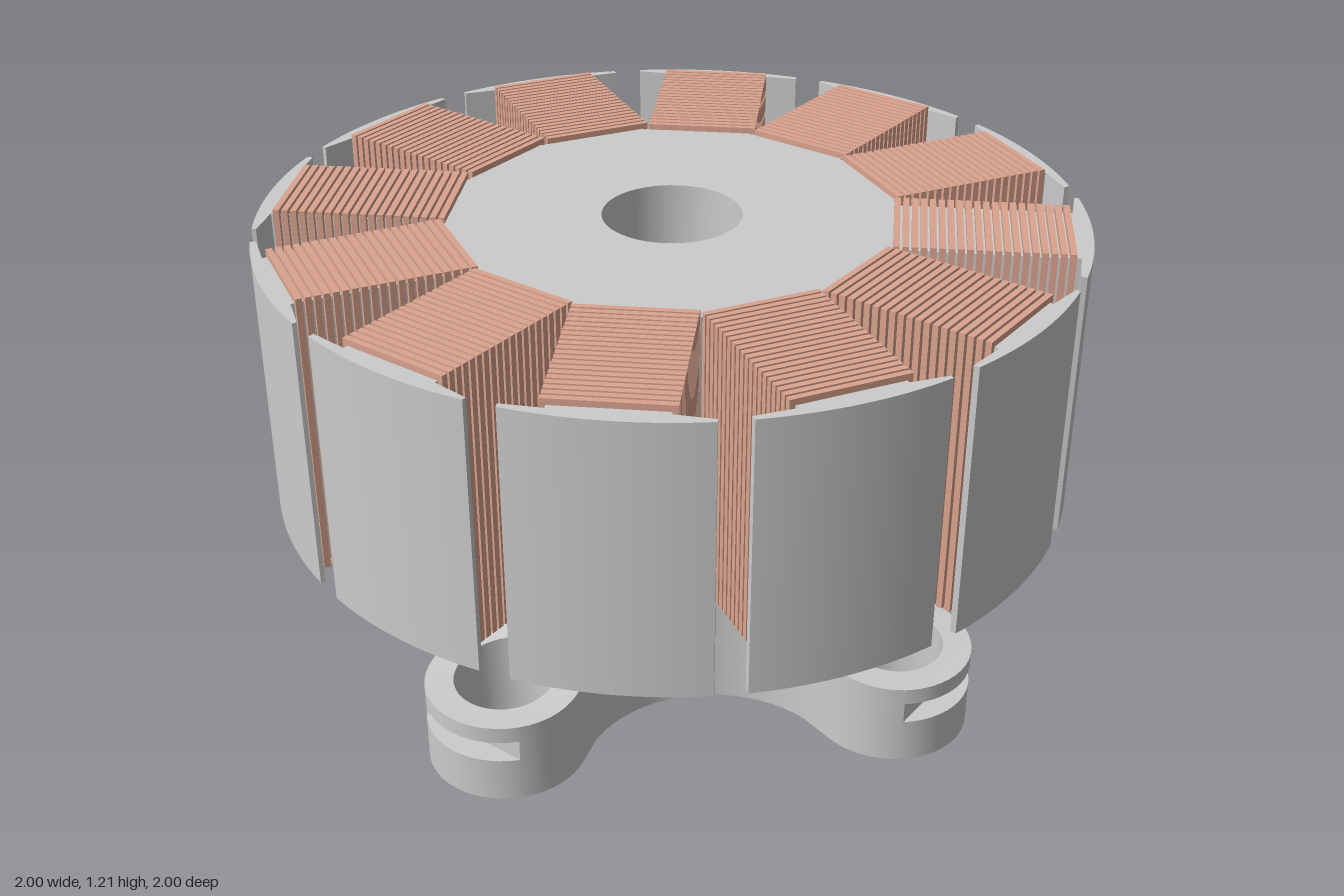
import * as THREE from 'three';
import { mergeGeometries, toCreasedNormals } from 'three/addons/utils/BufferGeometryUtils.js';

const grey = new THREE.MeshStandardMaterial({ color: 0xcccccc });
const greyOpen = new THREE.MeshStandardMaterial({ color: 0xcccccc, side: THREE.DoubleSide });
const copper = new THREE.MeshStandardMaterial({ color: 0xdba48f });

const { sin, cos, asin, sqrt, min, max, PI } = Math;
const rad = THREE.MathUtils.degToRad;
const lerp = THREE.MathUtils.lerp;

// Main sizes
const Y0 = 0.51, Y1 = 1.19, TEETH = 12;
const ARM = 0.68, ARM_R = 0.195, HOLE_R = 0.125, NECK = 0.25, BORE = 0.17, PIN = 0.085;
const NOTCH_C = 0.48;
const NOTCH_D = NOTCH_C * Math.SQRT2;
const NOTCH_R = Math.hypot(ARM - NOTCH_C, NOTCH_C) - ARM_R;

function mesh(name, geometry, material) {
  const m = new THREE.Mesh(geometry, material);
  m.name = name;
  return m;
}

// Vertical prism from a plan shape (shape y points to -z)
function prism(shape, y0, y1) {
  const g = new THREE.ExtrudeGeometry(shape, { depth: y1 - y0, bevelEnabled: false, curveSegments: 24 });
  return toCreasedNormals(g.rotateX(-PI / 2).translate(0, y0, 0), 0.4);
}

// Surface through a list of polylines of equal length
function skin(columns) {
  const n = columns[0].length, index = [];
  for (let i = 0; i < columns.length - 1; i++)
    for (let j = 0; j < n - 1; j++) {
      const a = i * n + j, b = a + n;
      index.push(a, b, a + 1, b, b + 1, a + 1);
    }
  const g = new THREE.BufferGeometry().setFromPoints(columns.flat());
  g.setIndex(index);
  return g;
}

// Flared top of the mount: a quarter ellipse falling from neck to arm tips
function flare(r) {
  const u = min(1, max(0, (0.85 - r) / 0.6));
  return 0.212 + 0.26 * (1 - sqrt(1 - u * u));
}

// Outline radius of one arm: round tip, then hollow between the arms
function outline(t) {
  const a = Math.abs(t), k = ARM * sin(a);
  if (k <= ARM_R + 1e-9) return ARM * cos(a) + sqrt(max(0, ARM_R ** 2 - k * k));
  const d = PI / 4 - a;
  return NOTCH_D * cos(d) - sqrt(max(0, NOTCH_R ** 2 - (NOTCH_D * sin(d)) ** 2));
}

// Angles across half an arm, dense where the curves turn
function armAngles() {
  const list = [];
  for (let i = 0; i <= 10; i++) list.push(asin(HOLE_R * sin(PI / 2 * i / 10) / ARM));
  const s0 = asin(HOLE_R / ARM_R);
  for (let i = 1; i <= 8; i++) list.push(asin(ARM_R * sin(lerp(s0, PI / 2, i / 8)) / ARM));
  for (let i = 0; i <= 12; i++) list.push(PI / 4 - asin(NOTCH_R * sin(rad(82) * (1 - i / 12)) / NOTCH_D));
  return [...list.slice(1).reverse().map(a => -a), ...list];
}

// Four-armed mount with bolt holes and a slit in each arm tip
function mountArm(turn) {
  const top = [], outer = [], floor = [], hole = [];
  for (const t of armAngles()) {
    const p = (r, y) => new THREE.Vector3(r * cos(t + turn), y, r * sin(t + turn));
    const R = outline(t), k = ARM * sin(Math.abs(t));
    const half = k < HOLE_R ? sqrt(HOLE_R ** 2 - k * k) : 0;
    const mid = min(ARM * cos(t), 0.9 * R);
    const near = mid - half, far = mid + half;
    const slit = min(R, 0.806 / cos(t));
    const line = [];
    for (let j = 0; j <= 14; j++) {
      const r = lerp(NECK, near, (j / 14) ** 2);
      line.push(p(r, flare(r)));
    }
    top.push(line);
    const rim = [];
    for (let j = 0; j <= 4; j++) {
      const r = lerp(far, R, j / 4);
      rim.push(p(r, flare(r)));
    }
    outer.push([...rim, p(R, 0.17), p(slit, 0.17), p(slit, 0.115), p(R, 0.115), p(R, 0), p(far, 0)]);
    floor.push([p(near, 0), p(PIN, 0)]);
  }
  for (let i = 0; i <= 40; i++) {
    const a = -2 * PI * i / 40;
    const x = ARM + HOLE_R * cos(a), z = HOLE_R * sin(a);
    const at = y => new THREE.Vector3(x * cos(turn) - z * sin(turn), y, x * sin(turn) + z * cos(turn));
    hole.push([at(flare(Math.hypot(x, z))), at(0)]);
  }
  return [top, outer, floor, hole].map(skin);
}

function createMount() {
  const group = new THREE.Group();
  group.name = 'mount';
  const parts = [0, 1, 2, 3].flatMap(i => mountArm(i * PI / 2));
  group.add(mesh('mountArms', toCreasedNormals(mergeGeometries(parts), 0.5), greyOpen));
  const neck = new THREE.CylinderGeometry(NECK, NECK, 0.05, 64, 1, true).translate(0, 0.495, 0);
  group.add(mesh('neck', neck, grey));
  // Stepped bore down to the small pin hole
  const profile = [[PIN, 0], [PIN, 0.15], [BORE, 0.15], [BORE, Y1]].map(([x, y]) => new THREE.Vector2(x, y));
  group.add(mesh('bore', toCreasedNormals(new THREE.LatheGeometry(profile, 48), 0.5), greyOpen));
  return group;
}

// Twelve-sided core plate with the bore through it
function coreGeometry() {
  const pts = [];
  for (let i = 0; i < TEETH; i++) {
    const a = rad(75 - 2.2 + 30 * i);
    pts.push(new THREE.Vector2(0.549 * cos(a), 0.549 * sin(a)));
  }
  const shape = new THREE.Shape(pts);
  shape.holes.push(new THREE.Path().absarc(0, 0, BORE, 0, 2 * PI, true));
  return prism(shape, Y0, Y1);
}

// Tooth: stem, and a shoe whose outside lies on the unit circle
function toothGeometry() {
  const shape = new THREE.Shape();
  shape.moveTo(-0.108, 0.5);
  shape.lineTo(0.148, 0.5);
  shape.lineTo(0.148, 0.963);
  shape.lineTo(0.245, 0.955);
  shape.absarc(0, 0, 1, Math.acos(0.245), Math.acos(-0.2), false);
  shape.lineTo(-0.2, 0.969);
  shape.lineTo(-0.108, 0.96);
  shape.closePath();
  return prism(shape, Y0, Y1);
}

// Coil: a row of flat turns around the stem
function coilGeometry() {
  const turns = 20, pitch = 0.0213, wires = [];
  for (let i = 0; i < turns; i++)
    wires.push(new THREE.BoxGeometry(0.282, 0.71, 0.015).translate(0.02, 0.85, -(0.539 + i * pitch)));
  return mergeGeometries(wires);
}

export function createModel() {
  const model = new THREE.Group();
  model.name = 'motorStator';
  model.add(createMount());
  model.add(mesh('statorCore', coreGeometry(), grey));
  const tooth = toothGeometry(), coil = coilGeometry();
  for (let i = 0; i < TEETH; i++) {
    const pole = new THREE.Group();
    pole.name = 'pole' + (i + 1);
    pole.add(mesh('tooth', tooth, grey), mesh('coil', coil, copper));
    pole.rotation.y = i * 2 * PI / TEETH;
    model.add(pole);
  }
  return model;
}
